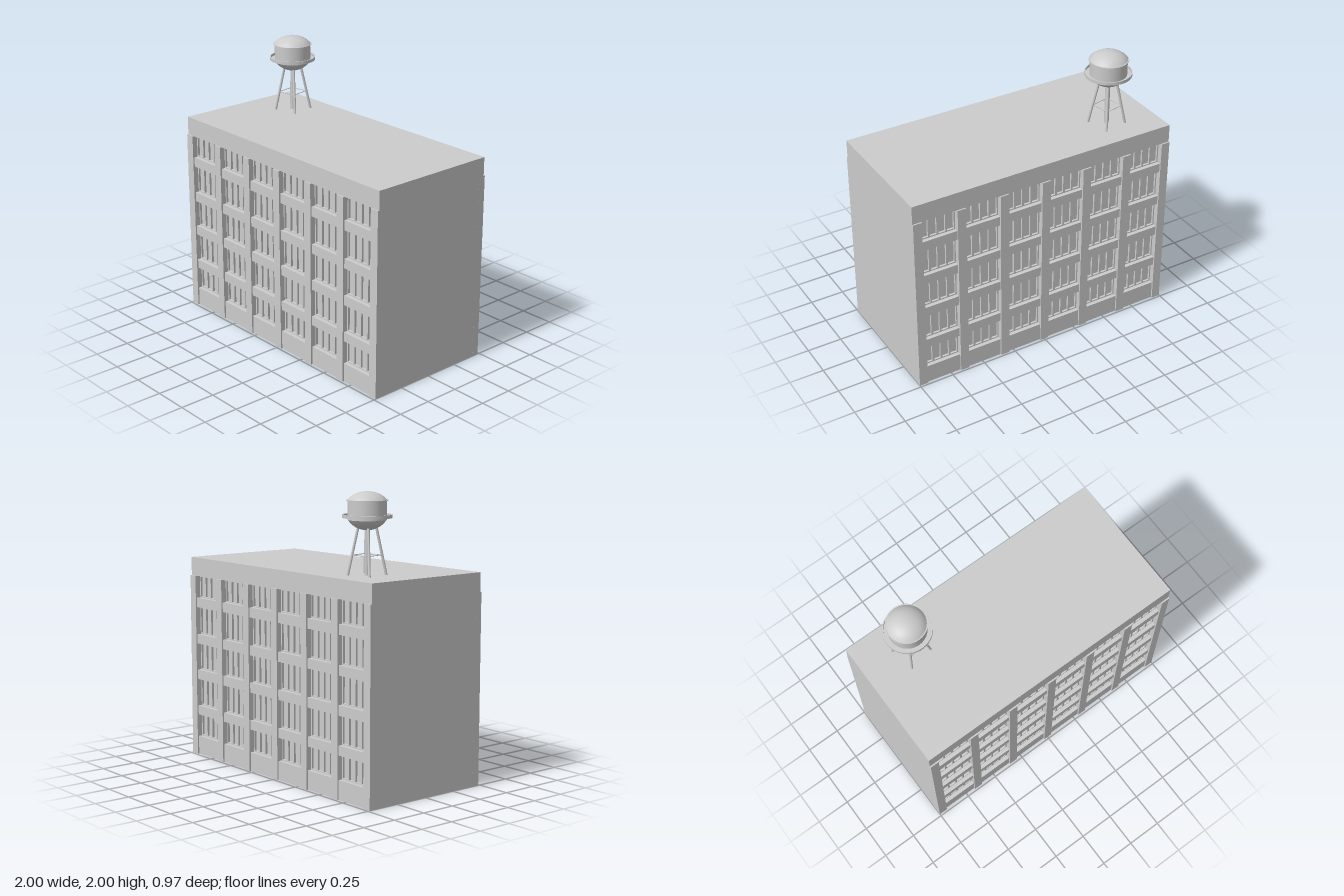
import * as THREE from 'three';

const grey = new THREE.MeshStandardMaterial({ color: 0xcccccc });
const greyDouble = new THREE.MeshStandardMaterial({ color: 0xcccccc, side: THREE.DoubleSide });

const HEIGHT = 1.455, CORNICE_Y = 1.323;
const WALL_Z = 0.475, PILASTER_Z = 0.486, FRAME_Z = 0.447, CORE_Z = 0.432;
const BAYS = 6, PITCH = 0.3227, PILASTER_W = 0.064;
const BAY_W = PITCH - PILASTER_W;
// Bottom and top of each row of windows
const ROWS = [[0.134, 0.297], [0.364, 0.562], [0.632, 0.826], [0.894, 1.093], [1.162, CORNICE_Y]];

function add(group, name, geometry, material = grey) {
  const mesh = new THREE.Mesh(geometry, material);
  mesh.name = name;
  group.add(mesh);
  return mesh;
}

// Box given by its limits on each axis
function block(group, name, x0, x1, y0, y1, z0, z1) {
  const mesh = add(group, name, new THREE.BoxGeometry(x1 - x0, y1 - y0, z1 - z0));
  mesh.position.set((x0 + x1) / 2, (y0 + y1) / 2, (z0 + z1) / 2);
  return mesh;
}

// Straight round bar between two points
function bar(group, name, a, b, radius, sides = 10) {
  const dir = b.clone().sub(a);
  const mesh = add(group, name, new THREE.CylinderGeometry(radius, radius, dir.length(), sides));
  mesh.position.copy(a).add(b).multiplyScalar(0.5);
  mesh.quaternion.setFromUnitVectors(new THREE.Vector3(0, 1, 0), dir.normalize());
  return mesh;
}

function rectangle(target, x0, x1, y0, y1) {
  target.moveTo(x0, y0).lineTo(x1, y0).lineTo(x1, y1).lineTo(x0, y1).closePath();
  return target;
}

// Window frame with four panes set back in it
function windowFrame(height) {
  const border = 0.009, mullion = 0.014;
  const pane = (BAY_W - 2 * border - 3 * mullion) / 4;
  const shape = rectangle(new THREE.Shape(), -BAY_W / 2, BAY_W / 2, 0, height);
  for (let i = 0; i < 4; i++) {
    const x = -BAY_W / 2 + border + i * (pane + mullion);
    shape.holes.push(rectangle(new THREE.Path(), x, x + pane, border, height - border));
  }
  return new THREE.ExtrudeGeometry(shape, { depth: FRAME_Z - CORE_Z, bevelEnabled: false });
}

function createFacade(name) {
  const facade = new THREE.Group();
  facade.name = name;
  block(facade, 'cornice', -1, 1, CORNICE_Y, HEIGHT, CORE_Z, WALL_Z);

  for (let i = 0; i <= BAYS; i++) {
    const x = (i - BAYS / 2) * PITCH;
    block(facade, 'pilaster', x - PILASTER_W / 2, x + PILASTER_W / 2, 0, CORNICE_Y, CORE_Z, PILASTER_Z);
  }

  const frames = ROWS.map(([y0, y1]) => windowFrame(y1 - y0));
  for (let i = 0; i < BAYS; i++) {
    const x = (i - (BAYS - 1) / 2) * PITCH;
    ROWS.forEach(([y0], r) => {
      const below = r === 0 ? 0 : ROWS[r - 1][1];
      block(facade, 'spandrel', x - BAY_W / 2, x + BAY_W / 2, below, y0, CORE_Z, WALL_Z);
      add(facade, 'windowFrame', frames[r]).position.set(x, y0, CORE_Z);
    });
  }
  return facade;
}

function lathe(points) {
  return new THREE.LatheGeometry(points.map(([r, y]) => new THREE.Vector2(r, y)), 32);
}

// Curved cap profile from the centre line out to the rim
function capProfile(rim, yCentre, yRim) {
  const points = [];
  for (let i = 0; i <= 10; i++) {
    const r = i / 10;
    const rise = (Math.sqrt(1.25 - r * r) - 0.5) / (Math.sqrt(1.25) - 0.5);
    points.push([r * rim, yRim + (yCentre - yRim) * rise]);
  }
  return points;
}

function createWaterTower() {
  const tower = new THREE.Group();
  tower.name = 'waterTower';

  // Tank
  add(tower, 'tankWall', lathe([[0.128, 1.815], [0.128, 1.945]]), greyDouble);
  add(tower, 'tankBowl', lathe(capProfile(0.128, 1.748, 1.82)), greyDouble);
  add(tower, 'tankRoof', lathe(capProfile(0.131, 2, 1.942)), greyDouble);
  const lip = add(tower, 'roofLip', new THREE.CylinderGeometry(0.137, 0.137, 0.004, 32));
  lip.position.y = 1.942;

  // Walkway: floor with an upright rim
  const walkway = new THREE.Shape().absarc(0, 0, 0.163, 0, Math.PI * 2);
  walkway.holes.push(new THREE.Path().absarc(0, 0, 0.125, 0, Math.PI * 2));
  const floor = add(tower, 'walkwayFloor',
    new THREE.ExtrudeGeometry(walkway, { depth: 0.005, bevelEnabled: false, curveSegments: 32 }));
  floor.rotation.x = -Math.PI / 2;
  floor.position.y = 1.828;
  add(tower, 'walkwayRim', lathe([[0.163, 1.83], [0.163, 1.85]]), greyDouble);
  add(tower, 'walkwayRimInside', lathe([[0.156, 1.83], [0.156, 1.85]]), greyDouble);
  add(tower, 'walkwayRimTop', lathe([[0.163, 1.85], [0.156, 1.85]]), greyDouble);

  // Riser pipe, splayed legs and bracing
  bar(tower, 'riserPipe', new THREE.Vector3(0, HEIGHT, 0), new THREE.Vector3(0, 1.76, 0), 0.017, 16);
  const at = (i, radius, y) => {
    const a = 0.588 + i * Math.PI / 2;
    return new THREE.Vector3(Math.cos(a) * radius, y, Math.sin(a) * radius);
  };
  for (let i = 0; i < 4; i++) {
    bar(tower, 'leg', at(i, 0.127, HEIGHT - 0.002), at(i, 0.058, 1.775), 0.009);
    bar(tower, 'brace', at(i, 0.098, 1.587), at(i + 1, 0.098, 1.587), 0.003, 6);
  }

  tower.position.set(-0.65, 0, -0.215);
  return tower;
}

export function createModel() {
  const model = new THREE.Group();
  model.name = 'warehouse';
  block(model, 'buildingCore', -1, 1, 0, HEIGHT, -CORE_Z, CORE_Z);

  const back = createFacade('backFacade');
  back.rotation.y = Math.PI;
  model.add(createFacade('frontFacade'), back, createWaterTower());
  return model;
}
